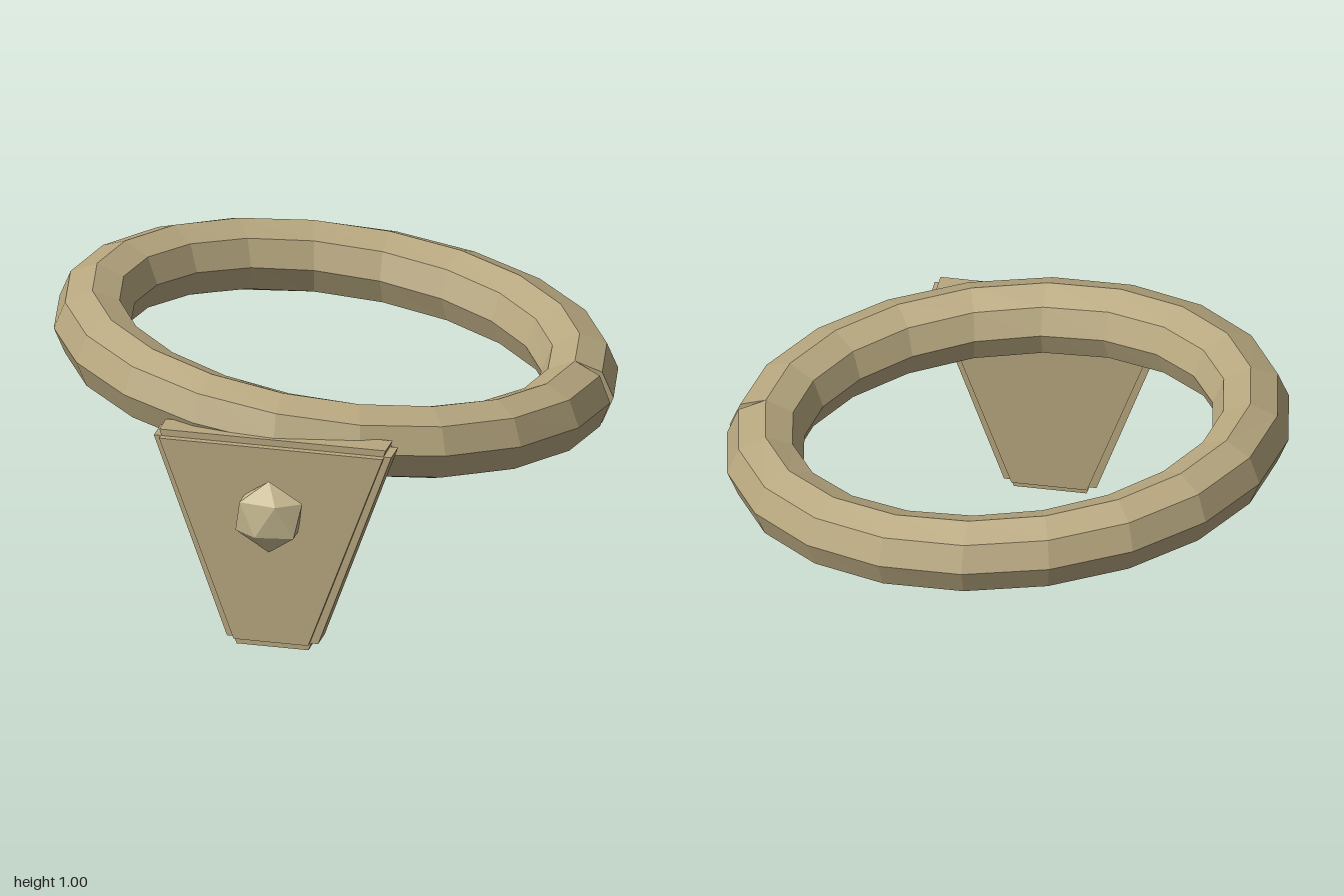
import * as THREE from 'three';
import { ConvexGeometry } from 'three/addons/geometries/ConvexGeometry.js';

const tan = new THREE.MeshStandardMaterial({ color: 0xb8a880 });
tan.name = 'tan';
const paleTan = new THREE.MeshStandardMaterial({ color: 0xc8ba92 });
paleTan.name = 'pale tan';

function addMesh(parent, name, geometry, material) {
  const mesh = new THREE.Mesh(geometry, material);
  mesh.name = name;
  parent.add(mesh);
  return mesh;
}

// Oval band: an octagon swept along a sloping ellipse, its two ends meeting at +x
function bandGeometry() {
  const SEG = 20, SIDES = 8, A = 0.865, B = 0.765, R = 0.136, Z0 = -0.063;
  const path = [];
  for (let i = 0; i <= SEG; i++) {
    const t = (i / SEG) * Math.PI * 2;
    path.push(new THREE.Vector2(A * Math.cos(t), B * Math.sin(t) + Z0));
  }
  const rings = path.map((p, i) => {
    const dir = path[Math.min(i + 1, SEG)].clone().sub(path[Math.max(i - 1, 0)]).normalize();
    const ring = [];
    for (let j = 0; j < SIDES; j++) {
      const f = (j / SIDES) * Math.PI * 2;
      const out = R * Math.cos(f);
      ring.push([p.x + dir.y * out, 0.77 - 0.113 * p.x + R * Math.sin(f), p.y - dir.x * out]);
    }
    return ring;
  });
  const pos = [];
  const tri = (a, b, c) => pos.push(...a, ...b, ...c);
  for (let i = 0; i < SEG; i++) {
    for (let j = 0; j < SIDES; j++) {
      const k = (j + 1) % SIDES;
      tri(rings[i][j], rings[i][k], rings[i + 1][k]);
      tri(rings[i][j], rings[i + 1][k], rings[i + 1][j]);
    }
  }
  // End caps
  for (let j = 1; j < SIDES - 1; j++) {
    tri(rings[0][0], rings[0][j + 1], rings[0][j]);
    tri(rings[SEG][0], rings[SEG][j], rings[SEG][j + 1]);
  }
  const geo = new THREE.BufferGeometry();
  geo.setAttribute('position', new THREE.Float32BufferAttribute(pos, 3));
  geo.computeVertexNormals();
  return geo;
}

// Box whose half width runs from wBottom to wTop
function taperedBox(wBottom, wTop, y0, y1, z0, z1) {
  const geo = new THREE.BoxGeometry(2, y1 - y0, z1 - z0);
  const p = geo.attributes.position;
  for (let i = 0; i < p.count; i++) {
    p.setX(i, p.getX(i) * (p.getY(i) > 0 ? wTop : wBottom));
  }
  geo.translate(0, (y0 + y1) / 2, (z0 + z1) / 2);
  geo.computeVertexNormals();
  return geo;
}

// Flattened twenty-sided stud with its poles up and down
function studGeometry(r) {
  const points = [new THREE.Vector3(0, r, 0), new THREE.Vector3(0, -r, 0)];
  for (let k = 0; k < 5; k++) {
    const t = (k / 5) * Math.PI * 2;
    const x = Math.cos(t) * r * 0.8944, z = Math.sin(t) * r * 0.8944;
    points.push(new THREE.Vector3(x, r * 0.4472, z), new THREE.Vector3(-x, -r * 0.4472, z));
  }
  const geo = new ConvexGeometry(points);
  geo.scale(1, 1, 0.5);
  geo.computeVertexNormals();
  return geo;
}

export function createModel() {
  const model = new THREE.Group();
  model.name = 'beltWithPlate';

  addMesh(model, 'band', bandGeometry(), tan);

  // Hanging plate with stepped edges: three crossing slabs
  const plate = new THREE.Group();
  plate.name = 'plate';
  addMesh(plate, 'plateFace', taperedBox(0.135, 0.405, 0.027, 0.762, 0.73, 0.871), tan);
  addMesh(plate, 'plateSides', taperedBox(0.165, 0.43, 0.027, 0.762, 0.75, 0.846), tan);
  addMesh(plate, 'plateEnds', taperedBox(0.13, 0.41, 0, 0.786, 0.75, 0.846), tan);
  model.add(plate);

  const stud = addMesh(model, 'stud', studGeometry(0.135), paleTan);
  stud.position.set(0, 0.515, 0.9);

  return model;
}
